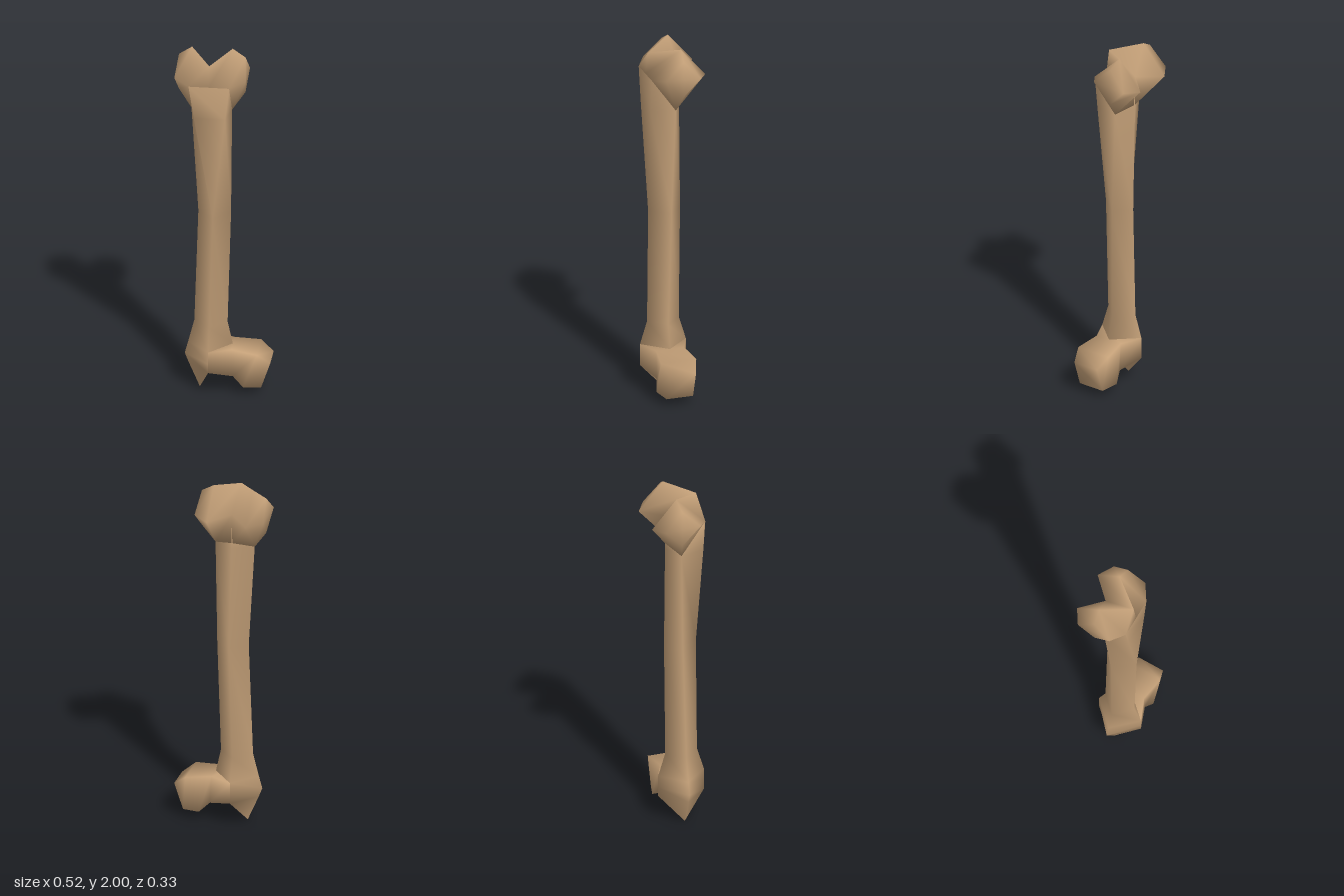
import * as THREE from 'three';
import { mergeVertices } from 'three/addons/utils/BufferGeometryUtils.js';

// Skin a list of equal-length rings of [x, y, z], closing both ends with a fan.
function loft(rings) {
  const n = rings[0].length, points = rings.flat(), index = [];
  for (let r = 0; r < rings.length - 1; r++) {
    for (let i = 0; i < n; i++) {
      const a = r * n + i, b = r * n + (i + 1) % n;
      index.push(a, b, a + n, b, b + n, a + n);
    }
  }
  const cap = (ring, start, flip) => {
    const centre = [0, 1, 2].map((k) => ring.reduce((s, p) => s + p[k], 0) / n);
    const c = points.push(centre) - 1;
    for (let i = 0; i < n; i++) {
      const a = start + i, b = start + (i + 1) % n;
      index.push(c, flip ? b : a, flip ? a : b);
    }
  };
  cap(rings[0], 0, true);
  cap(rings[rings.length - 1], (rings.length - 1) * n, false);

  // Turn the faces outwards when the enclosed volume comes out negative.
  const v = points.map((p) => new THREE.Vector3(...p));
  let volume = 0;
  for (let i = 0; i < index.length; i += 3) {
    volume += v[index[i]].dot(v[index[i + 1]].clone().cross(v[index[i + 2]]));
  }
  if (volume < 0) index.reverse();

  let geometry = new THREE.BufferGeometry().setFromPoints(v);
  geometry.setIndex(index);
  geometry = mergeVertices(geometry, 1e-4);
  geometry.computeVertexNormals();
  return geometry;
}

// Diamond section with ridges at front, sides and back; the front ridge can split in two.
function shaftRing(y, left, right, back, front, ridge, sideZ, split = 0) {
  return [
    [ridge - split, y, front], [ridge + split, y, front],
    [right, y, sideZ], [ridge, y, back], [left, y, sideZ],
  ];
}

export function createModel() {
  const model = new THREE.Group();
  const bone = new THREE.MeshStandardMaterial({ color: 0xc4a078 });
  bone.name = 'bone';
  const add = (name, rings) => {
    const mesh = new THREE.Mesh(loft(rings), bone);
    mesh.name = name;
    model.add(mesh);
  };

  // Shaft, flaring into a spike at the bottom and a flat front triangle at the top
  add('shaft', [
    shaftRing(0.005, -0.131, -0.129, 0.034, 0.036, -0.13, 0.035),
    shaftRing(0.148, -0.192, -0.06, -0.095, 0.165, -0.07, 0.035),
    shaftRing(0.2, -0.212, -0.01, -0.095, 0.165, -0.07, 0.035),
    shaftRing(0.27, -0.193, 0.048, -0.095, 0.165, -0.07, 0.035),
    shaftRing(0.4, -0.16, 0.02, -0.055, 0.125, -0.07, 0.035),
    shaftRing(1.05, -0.14, 0.037, -0.055, 0.126, -0.05, 0.022),
    shaftRing(1.65, -0.18, 0.04, -0.055, 0.134, -0.066, 0, 0.084),
    shaftRing(1.84, -0.18, 0.04, -0.055, 0.135, -0.07, 0.13, 0.11),
  ]);

  // Neck and head: four-cornered sections from top edge to bottom edge
  const headRing = (top, bottom, back, front) => [
    [...top, back], [...top, front], [...bottom, front], [...bottom, back],
  ];
  add('neckAndHead', [
    headRing([-0.07, 0.27], [-0.07, 0.148], -0.095, 0.165),
    headRing([0.05, 0.27], [0.058, 0.113], -0.045, 0.115),
    headRing([0.19, 0.255], [0.115, 0.06], -0.065, 0.135),
    headRing([0.26, 0.2], [0.21, 0.052], -0.04, 0.11),
  ]);

  // Twin knuckles: diamond sections across x, mirrored about the notch
  const mid = -0.07;
  const end = [[0.193, 1.86, 0.08], [0.18, 1.957, -0.02], [0.193, 1.85, -0.115], [0.18, 1.75, -0.02]];
  const knuckle = [[0.11, 1.84, 0.135], [0.11, 2, -0.03], [0.11, 1.84, -0.168], [0.11, 1.65, 0]];
  const notch = [[0, 1.84, 0.135], [0, 1.96, 0.12], [0, 1.85, -0.055], [0, 1.68, -0.053]];
  const place = (ring, side) => ring.map(([x, y, z]) => [mid + side * x, y, z]);
  add('knuckles', [
    place(end, 1), place(knuckle, 1), place(notch, 1), place(knuckle, -1), place(end, -1),
  ]);

  return model;
}
